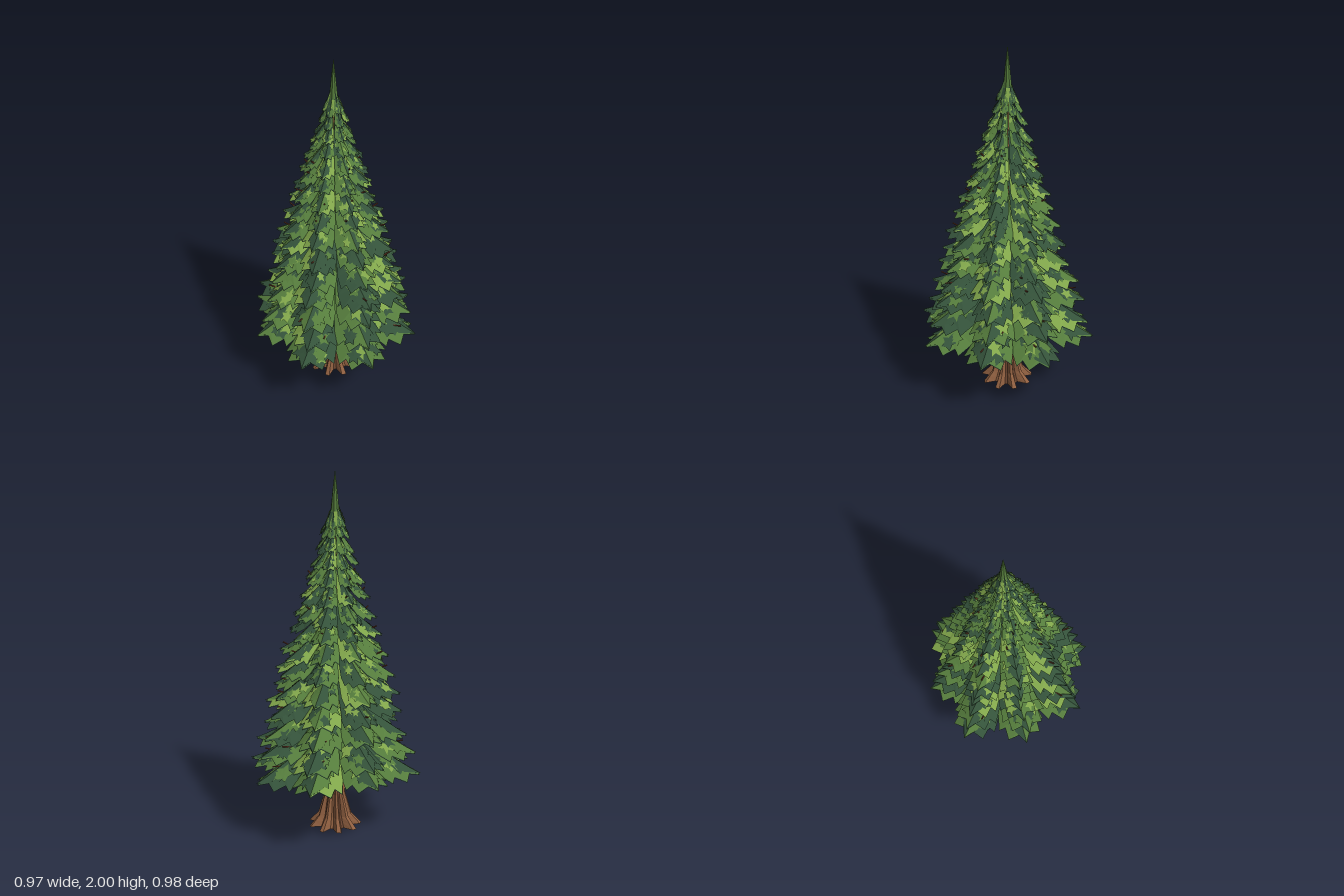
import * as THREE from 'three';
import { mergeGeometries } from 'three/addons/utils/BufferGeometryUtils.js';

const material = (name, color, side = THREE.FrontSide) => {
  const m = new THREE.MeshStandardMaterial({ color, side, flatShading: true });
  m.name = name;
  return m;
};

// Small seeded generator
let seed = 7;
const rand = (a = 0, b = 1) => {
  seed = (seed * 16807) % 2147483647;
  return a + (b - a) * (seed / 2147483647);
};

// Bough outlines as [distance along, half width], in bough lengths
const RIDGE = [0, 0.3, 0.5, 0.66, 0.73, 0.82, 0.88, 1];
const SIDE = [[0, 0.03], [0.3, 0.14], [0.55, 0.24], [0.74, 0.28], [0.7, 0.2], [0.89, 0.2], [0.82, 0.1], [1, 0]];
const MIDDLE = [[0, 0.02], [0.3, 0.06], [0.6, 0.15], [0.55, 0.08], [0.8, 0.15], [0.73, 0.08], [0.83, 0.1], [1.01, 0]];
// Relative bough lengths around the tree
const REACH = [1, 1.01, 1.05, 1.05, 0.98, 1, 0.94, 1.03];

function geometryFrom(points) {
  const g = new THREE.BufferGeometry();
  g.setAttribute('position', new THREE.Float32BufferAttribute(points.flat(), 3));
  g.computeVertexNormals();
  return g;
}

// Maps bough coordinates onto a drooping surface, roof-shaped inside and flatter at the tip
function boughSurface(angle, length, tipY, height) {
  const c = Math.cos(angle), s = Math.sin(angle);
  return (t, w, lift = 0) => {
    const d = 0.015 + t * (length - 0.015), lat = w * length;
    const droop = (1.4 - 1.15 * t) * Math.abs(lat);
    const y = tipY + height * Math.pow(Math.max(0, 1 - t), 1.1) - droop + lift;
    return [c * d - s * lat, y, s * d + c * lat];
  };
}

// One half of a bough, between its ridge and its jagged edge
function halfBough(P, outline, sign, lift) {
  const pts = [];
  for (let i = 0; i < RIDGE.length - 1; i++) {
    const r0 = P(RIDGE[i], 0, lift), r1 = P(RIDGE[i + 1], 0, lift);
    const o0 = P(outline[i][0], sign * outline[i][1], lift);
    const o1 = P(outline[i + 1][0], sign * outline[i + 1][1], lift);
    if (sign > 0) pts.push(r0, o0, r1, r1, o0, o1);
    else pts.push(r0, r1, o0, r1, o1, o0);
  }
  return geometryFrom(pts);
}

// A jagged tuft of needles lying on one side of a bough
function tuft(P, t, w, size, lift) {
  const pts = [], ring = [], n = 10;
  const sign = Math.sign(w);
  for (let i = 0; i < n; i++) {
    const a = (i / n) * Math.PI * 2;
    const r = size * (i % 2 ? 0.5 : 1) * rand(0.8, 1.2);
    const across = sign * Math.max(0.005, Math.abs(w) + Math.sin(a) * r * 0.8);
    ring.push(P(Math.min(0.92, t + Math.cos(a) * r), across, lift));
  }
  const centre = P(t, w, lift);
  for (let i = 0; i < n; i++) pts.push(centre, ring[(i + 1) % n], ring[i]);
  return geometryFrom(pts);
}

// Fluted trunk flaring into pointed roots
function buildTrunk(bark, darkBark) {
  const group = new THREE.Group();
  group.name = 'trunk';
  const roots = 9, n = roots * 4;
  // height, ridge radius, groove radius
  const rings = [[0, 0.15, 0.09], [0.03, 0.122, 0.078], [0.06, 0.095, 0.066], [0.19, 0.058, 0.046],
    [0.35, 0.051, 0.044], [1, 0.036, 0.031], [1.75, 0.014, 0.012]];
  const at = (k, j) => {
    const [y, outer, inner] = rings[k];
    const a = ((j % n) / n) * Math.PI * 2 + 0.1;
    const r = [outer, outer * 0.96, inner, inner][j % 4];
    return [Math.cos(a) * r, y, Math.sin(a) * r];
  };
  const barkPts = [], groovePts = [], base = [];
  for (let j = 0; j < n; j++) {
    for (let k = 0; k < rings.length - 1; k++) {
      const a = at(k, j), b = at(k, j + 1), c = at(k + 1, j + 1), d = at(k + 1, j);
      (k < 3 && j % 8 === 2 ? groovePts : barkPts).push(a, c, b, a, d, c);
    }
    base.push([0, 0, 0], at(0, j), at(0, j + 1));
  }
  for (const [name, pts, mat] of [['trunkBark', barkPts, bark], ['barkGrooves', groovePts, darkBark], ['trunkBase', base, bark]]) {
    const mesh = new THREE.Mesh(geometryFrom(pts), mat);
    mesh.name = name;
    group.add(mesh);
  }
  return group;
}

export function createModel() {
  seed = 7;
  const model = new THREE.Group();
  model.name = 'pineTree';
  const bark = material('bark brown', 0x8f5f40);
  const darkBark = material('dark bark', 0x68432f);
  const twigBrown = material('twig brown', 0x74402a);
  const greens = {
    dark: material('deep green', 0x34523a, THREE.DoubleSide),
    mid: material('needle green', 0x557c3c, THREE.DoubleSide),
    light: material('fresh green', 0x80a54a, THREE.DoubleSide),
  };

  const tree = new THREE.Group();
  tree.name = 'tree';
  tree.position.set(-0.005, 0, -0.028);
  model.add(tree);
  tree.add(buildTrunk(bark, darkBark));

  // Tiers of eight drooping boughs, closer together towards the top
  const tiers = 15, twigs = [];
  const addTwig = (a, b, r) => twigs.push(new THREE.TubeGeometry(
    new THREE.LineCurve3(new THREE.Vector3(...a), new THREE.Vector3(...b)), 1, r, 5));
  for (let i = 0; i < tiers; i++) {
    const k = 1 - Math.pow(1 - i / (tiers - 1), 1.2);
    const radius = 0.487 * (1 - k) + 0.065 * k + 0.025 * Math.sin(Math.PI * k);
    const y = 0.345 + 1.355 * k;
    const height = 0.085 + 0.38 * radius;
    const parts = { dark: [], mid: [], light: [] };
    for (let b = 0; b < 8; b++) {
      const angle = (b / 8) * Math.PI * 2 + (i === 0 ? 0 : rand(-0.06, 0.06));
      const length = radius * (i === 0 ? 1 : rand(0.95, 1.02)) * REACH[b];
      const P = boughSurface(angle, length, y + rand(-0.015, 0.015), height);
      for (const sign of [-1, 1]) {
        parts.dark.push(halfBough(P, SIDE, sign, -0.006));
        const pickSide = rand();
        const tone = pickSide < 0.6 ? 'mid' : pickSide < 0.8 ? 'light' : 'dark';
        parts[tone].push(halfBough(P, SIDE, sign, 0));
        parts[rand() < 0.75 ? 'dark' : 'mid'].push(halfBough(P, MIDDLE, sign, 0.006));
        // Tufts of other greens over each side
        for (let q = 0; q < 3; q++) {
          const pick = rand();
          const color = pick < 0.38 ? 'mid' : pick < 0.68 ? 'light' : 'dark';
          const t = rand(0.5, 0.8);
          parts[color].push(tuft(P, t, sign * rand(0.05, 0.15), rand(0.07, 0.12), 0.008 + q * 0.002));
        }
      }
      // Bare twigs poking out of some boughs
      if (i < 11 && rand() < 0.4) {
        const w = rand(-0.15, 0.15), t = rand(0.62, 0.8);
        addTwig(P(t, w, -0.005), P(t + 0.13, w * 1.1, 0.035), 0.004);
      }
      // Short stems leaving the trunk beneath the boughs
      if (i < 11 && b % 2 === i % 2) addTwig(P(0.02, 0, -0.03), P(0.4, 0, -0.015), 0.006);
    }
    const tier = new THREE.Group();
    tier.name = `boughTier${i + 1}`;
    for (const tone of Object.keys(parts)) {
      if (!parts[tone].length) continue;
      const mesh = new THREE.Mesh(mergeGeometries(parts[tone]), greens[tone]);
      mesh.name = `${tone}Needles`;
      tier.add(mesh);
    }
    tree.add(tier);
  }
  const twigMesh = new THREE.Mesh(mergeGeometries(twigs), twigBrown);
  twigMesh.name = 'twigs';
  tree.add(twigMesh);

  // Pointed crown
  const profile = [[0.052, 1.7], [0.04, 1.74], [0.024, 1.78], [0.014, 1.88], [0, 2]];
  const crown = new THREE.Mesh(
    new THREE.LatheGeometry(profile.map(([r, y]) => new THREE.Vector2(r, y)), 8), greens.mid);
  crown.name = 'crownTip';
  tree.add(crown);
  // Dark and fresh needles wrapped round the foot of the crown
  for (const [tone, start] of [['dark', 0], ['light', 1]]) {
    const wraps = [];
    for (let j = start; j < 8; j += 2) {
      const p = (a, r, h) => [Math.sin(a) * r, h, Math.cos(a) * r];
      const a = (j / 8) * Math.PI * 2;
      wraps.push(geometryFrom([p(a + Math.PI / 8, 0.06, 1.69), p(a + 0.75, 0.03, 1.78), p(a, 0.03, 1.78)]));
    }
    const wrapMesh = new THREE.Mesh(mergeGeometries(wraps), greens[tone]);
    wrapMesh.name = `${tone}CrownNeedles`;
    tree.add(wrapMesh);
  }
  return model;
}
